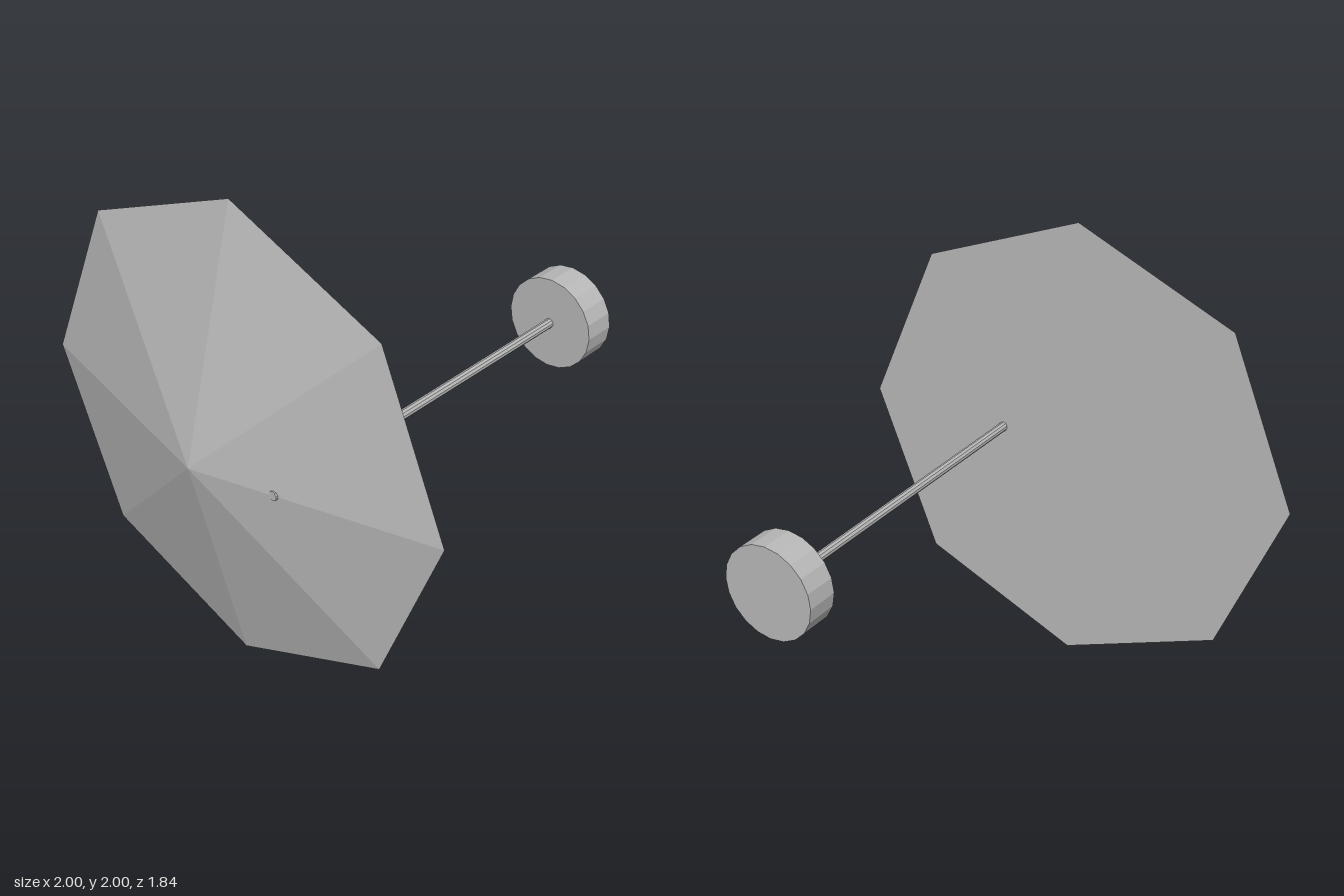
import * as THREE from 'three';

export function createModel() {
  const group = new THREE.Group();
  const grey = new THREE.MeshStandardMaterial({ color: 0xb8b8b8, flatShading: true });
  grey.name = 'plain grey';

  // Adds a part whose axis runs along z, from zBack to zFront
  function addPart(name, rFront, rBack, sides, x, zBack, zFront) {
    const geometry = new THREE.CylinderGeometry(rFront, rBack, zFront - zBack, sides);
    geometry.rotateX(Math.PI / 2);
    const mesh = new THREE.Mesh(geometry, grey);
    mesh.name = name;
    mesh.position.set(x, 1, (zBack + zFront) / 2);
    group.add(mesh);
  }

  // Shallow eight-sided canopy with a closed back
  addPart('canopy', 0, 1, 8, 0, 0.664, 0.92);
  // Off-centre rod whose tip just breaks through the canopy
  addPart('rod', 0.02, 0.02, 10, 0.345, -0.8, 0.835);
  // Round knob at the back end of the rod
  addPart('knob', 0.2, 0.2, 20, 0.345, -0.92, -0.78);

  return group;
}
